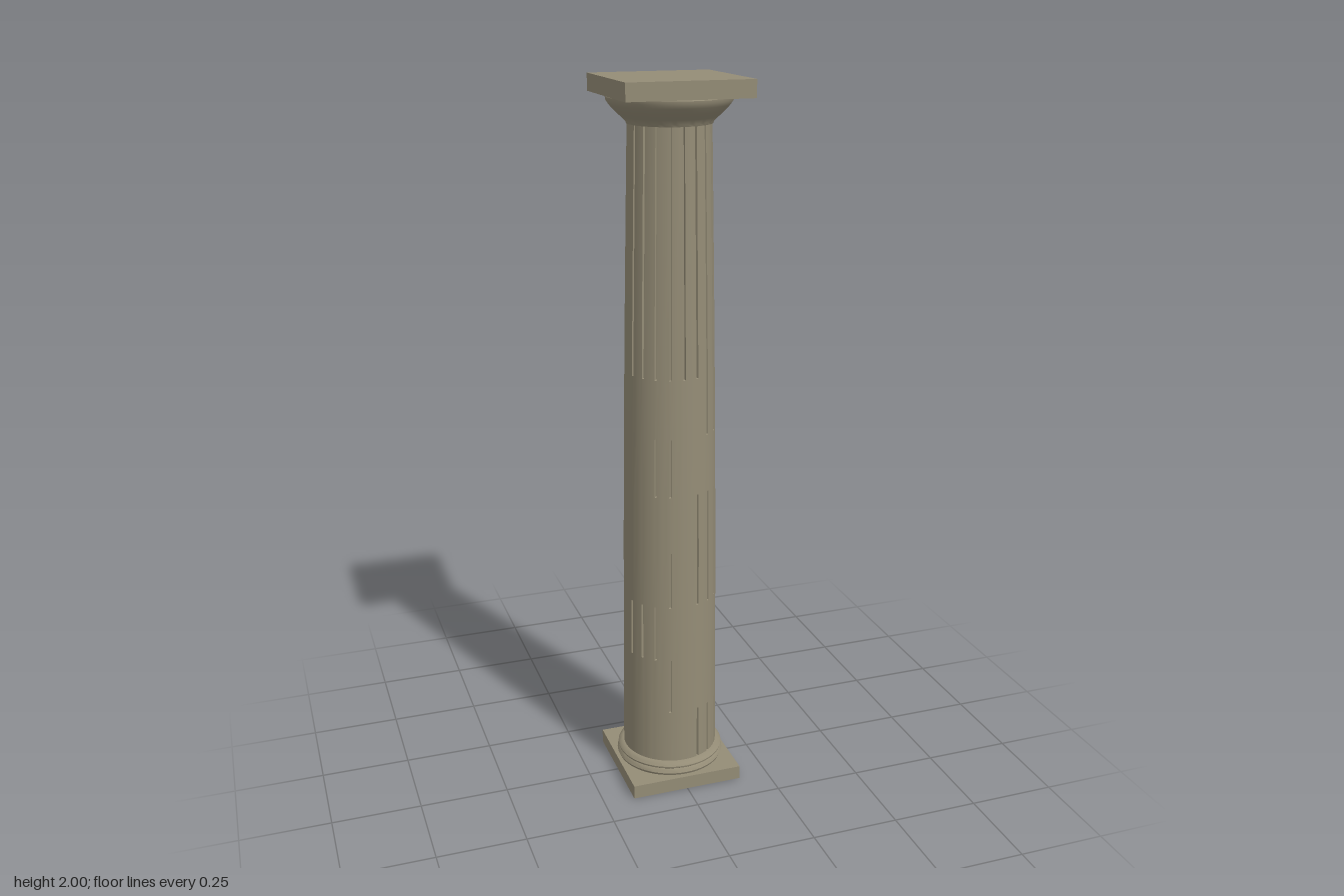
import * as THREE from 'three';
import { toCreasedNormals } from 'three/addons/utils/BufferGeometryUtils.js';

const FLUTES = 20;
const Y0 = 0.075, Y1 = 1.89;

// Flutes still legible on each worn drum, counted from the front towards +x
const drums = [
  [1, 2, 3, 4], [-1], [-4, -3, -2], [-1, 1, 2, 3, 4],
  [1, 2, 3, 4, 6, 7, 8, 9], [-2, -1], [2, 3, 6, 7, 8, 9],
  [-4, -3, -2, -1, 0, 1, 2, 3, 4], [-4, -3, -2, -1, 0, 1, 2, 3, 4],
  [-4, -3, -2, -1, 0, 1, 2, 3], [-4, -3, -2, -1, 0, 1, 2, 3, 4, 8],
];

// Tapering radius with a slight swelling
function shaftRadius(t) {
  return 0.136 - 0.026 * t + 0.004 * Math.sin(Math.PI * t);
}

// Stacked drums as one skin, with narrow grooves cut along the legible flutes
function shaftGeometry() {
  const offsets = [-0.5, -0.28, -0.09, -0.05, 0.05, 0.09, 0.28];
  const cols = FLUTES * offsets.length;
  const positions = [], index = [];
  const rows = drums.length * 2;
  for (let row = 0; row < rows; row++) {
    const d = Math.floor(row / 2), top = row % 2;
    const t = (d + (top ? 0.995 : 0.005)) / drums.length;
    const cut = new Set(drums[d].map((k) => (k + FLUTES) % FLUTES));
    for (let f = 0; f < FLUTES; f++) {
      for (const o of offsets) {
        const a = ((f + o) / FLUTES) * Math.PI * 2;
        const r = shaftRadius(t) - (cut.has(f) && Math.abs(o) < 0.06 ? 0.006 : 0);
        positions.push(r * Math.sin(a), Y0 + (Y1 - Y0) * t, r * Math.cos(a));
      }
    }
  }
  for (let row = 0; row < rows - 1; row++) {
    for (let c = 0; c < cols; c++) {
      const a = row * cols + c, b = row * cols + ((c + 1) % cols);
      index.push(a, b, b + cols, a, b + cols, a + cols);
    }
  }
  const g = new THREE.BufferGeometry();
  g.setAttribute('position', new THREE.Float32BufferAttribute(positions, 3));
  g.setIndex(index);
  return toCreasedNormals(g, 0.5);
}

function lathe(points) {
  const g = new THREE.LatheGeometry(points.map(([r, y]) => new THREE.Vector2(r, y)), 64);
  return toCreasedNormals(g, 0.6);
}

export function createModel() {
  const group = new THREE.Group();
  const stone = new THREE.MeshStandardMaterial({ color: 0x948c76 });
  stone.name = 'weathered stone';

  const add = (name, geometry, y = 0) => {
    const mesh = new THREE.Mesh(geometry, stone);
    mesh.name = name;
    mesh.position.y = y;
    group.add(mesh);
  };

  // Square foot and its rounded mouldings
  add('plinth', new THREE.BoxGeometry(0.325, 0.04, 0.325), 0.02);
  add('baseMoulding', lathe([
    [0.13, 0.038], [0.145, 0.039], [0.153, 0.044], [0.156, 0.051], [0.153, 0.059],
    [0.148, 0.063], [0.152, 0.066], [0.153, 0.071], [0.149, 0.077], [0.14, 0.081], [0.13, 0.082],
  ]));

  add('shaft', shaftGeometry());

  // Flaring cushion and square slab on top
  add('echinus', lathe([
    [0.1, 1.884], [0.112, 1.884], [0.114, 1.89], [0.127, 1.902], [0.143, 1.917],
    [0.157, 1.932], [0.164, 1.943], [0.165, 1.951], [0.161, 1.957],
  ]));
  add('abacus', new THREE.BoxGeometry(0.34, 0.046, 0.34), 1.977);

  return group;
}
